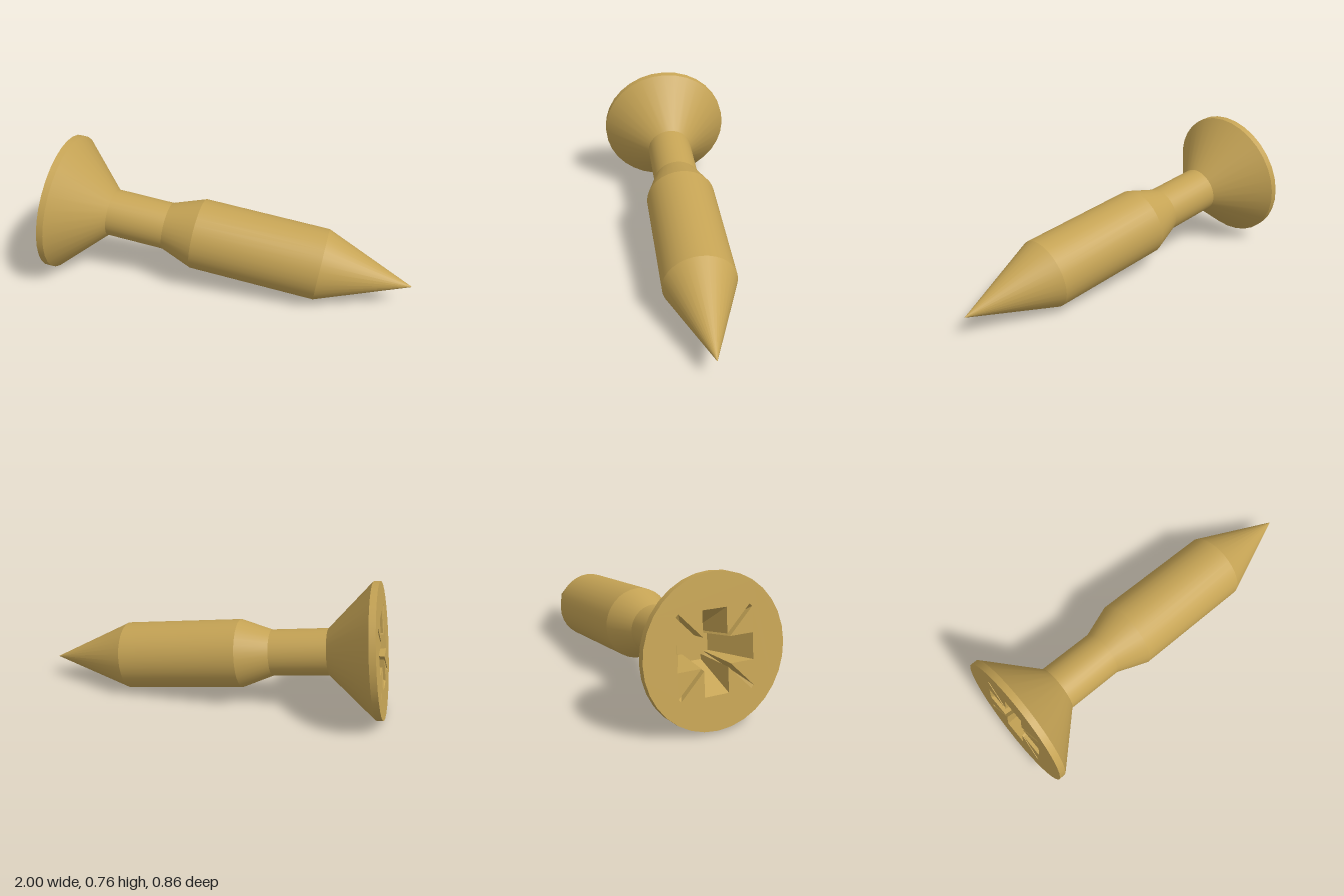
import * as THREE from 'three';

const SIDES = 32;
const HEAD_R = 0.378;

export function createModel() {
  const brass = new THREE.MeshStandardMaterial({ color: 0xc6a455 });
  brass.name = 'brass';

  const model = new THREE.Group();
  model.name = 'screw';
  const add = (name, geometry) => {
    const mesh = new THREE.Mesh(geometry, brass);
    mesh.name = name;
    model.add(mesh);
  };

  // Turned sections along local +y: name, start radius, start, end radius, end.
  // Separate lathes keep a crisp edge between sections.
  const sections = [
    ['headRim', HEAD_R, 0, HEAD_R, 0.036],
    ['headCone', HEAD_R, 0.036, 0.131, 0.287],
    ['neck', 0.131, 0.287, 0.131, 0.608],
    ['shoulder', 0.131, 0.608, 0.195, 0.785],
    ['shank', 0.195, 0.785, 0.195, 1.475],
    ['tip', 0.195, 1.475, 0, 1.967],
  ];
  for (const [name, r0, s0, r1, s1] of sections) {
    add(name, new THREE.LatheGeometry([new THREE.Vector2(r0, s0), new THREE.Vector2(r1, s1)], SIDES));
  }

  // Cross recess outline: four wide arms with a thin diagonal slot between them.
  const t = 0.01;
  const a = t * Math.SQRT2;
  const k = t / Math.SQRT2;
  const crossOutline = (length, half, slot) => {
    const quarter = [
      [length, -half], [length, half], [half + a, half],
      [slot + k, slot - k], [slot - k, slot + k], [half, half + a],
    ];
    const points = [];
    for (let q = 0; q < 4; q++) {
      const turn = (q * Math.PI) / 2;
      for (const [x, y] of quarter) {
        points.push(new THREE.Vector2(x, y).rotateAround(new THREE.Vector2(), turn));
      }
    }
    return points;
  };
  const mouth = crossOutline(0.205, 0.065, 0.197);
  const bottom = crossOutline(0.085, 0.045, 0.064);
  const depth = 0.21;

  // Head face, pierced by the recess
  const rim = [];
  for (let i = 0; i < SIDES; i++) {
    const angle = (i / SIDES) * Math.PI * 2;
    rim.push(new THREE.Vector2(Math.cos(angle) * HEAD_R, Math.sin(angle) * HEAD_R));
  }
  const face = new THREE.Shape(rim);
  face.holes.push(new THREE.Path(mouth));
  add('headFace', new THREE.ShapeGeometry(face).rotateX(Math.PI / 2));

  // Sloping recess walls and floor
  const walls = [];
  mouth.forEach((m, i) => {
    const j = (i + 1) % mouth.length;
    const top = (n) => [mouth[n].x, mouth[n].y, 0];
    const low = (n) => [bottom[n].x, bottom[n].y, -depth];
    walls.push(...top(i), ...top(j), ...low(j), ...top(i), ...low(j), ...low(i));
  });
  const wallGeometry = new THREE.BufferGeometry();
  wallGeometry.setAttribute('position', new THREE.Float32BufferAttribute(walls, 3));
  wallGeometry.rotateX(Math.PI / 2);
  wallGeometry.computeVertexNormals();
  add('recessWalls', wallGeometry);
  add('recessFloor', new THREE.ShapeGeometry(new THREE.Shape(bottom))
    .translate(0, 0, -depth).rotateX(Math.PI / 2));

  // Lay the screw down: axis from head centre to tip, one recess arm upright
  const start = new THREE.Vector3(-0.908, 0.394, -0.062);
  const axis = new THREE.Vector3(1, 0.133, 0.34).sub(start).normalize();
  const up = new THREE.Vector3(0, 1, 0).addScaledVector(axis, -axis.y).normalize();
  const side = new THREE.Vector3().crossVectors(axis, up);
  model.quaternion.setFromRotationMatrix(new THREE.Matrix4().makeBasis(side, axis, up));
  model.position.copy(start);

  const root = new THREE.Group();
  root.add(model);
  return root;
}
